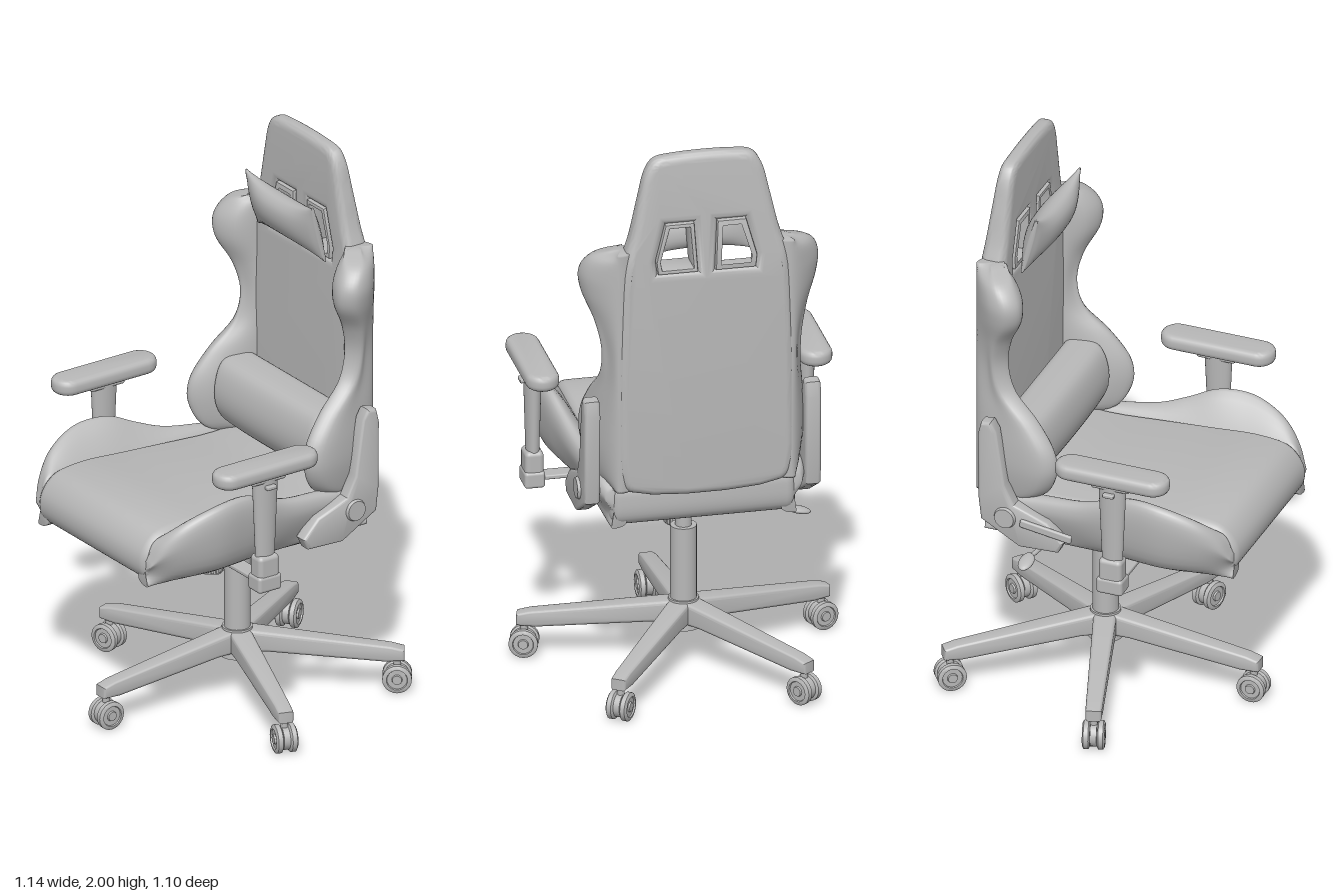
import * as THREE from 'three';
import { toCreasedNormals } from 'three/addons/utils/BufferGeometryUtils.js';
import { RoundedBoxGeometry } from 'three/addons/geometries/RoundedBoxGeometry.js';

const V = (x, y, z) => new THREE.Vector3(x, y, z);

// Smooth closed skin through rows of [x, y, z] control points
function loft(rows, around = 36, along = 40) {
  const rings = rows.map(r => new THREE.CatmullRomCurve3(r.map(p => V(...p)), true, 'centripetal').getPoints(around).slice(0, around));
  const columns = rings[0].map((_, j) => new THREE.CatmullRomCurve3(rings.map(r => r[j]), false, 'centripetal').getPoints(along));
  const pos = [], idx = [];
  for (let i = 0; i <= along; i++) for (let j = 0; j < around; j++) pos.push(...columns[j][i].toArray());
  for (let i = 0; i < along; i++) for (let j = 0; j < around; j++) {
    const a = i * around + j, b = i * around + (j + 1) % around;
    idx.push(a, b, a + around, b, b + around, a + around);
  }
  for (const i of [0, along]) {
    const c = V(0, 0, 0);
    columns.forEach(col => c.addScaledVector(col[i], 1 / around));
    const n = pos.length / 3;
    pos.push(...c.toArray());
    for (let j = 0; j < around; j++) {
      const a = i * around + j, b = i * around + (j + 1) % around;
      idx.push(...(i ? [a, b, n] : [b, a, n]));
    }
  }
  // Face outward whichever way the rows run
  const P = k => V(pos[3 * k], pos[3 * k + 1], pos[3 * k + 2]);
  let volume = 0;
  for (let t = 0; t < idx.length; t += 3) volume += P(idx[t]).dot(P(idx[t + 1]).cross(P(idx[t + 2])));
  if (volume < 0) idx.reverse();
  const g = new THREE.BufferGeometry();
  g.setAttribute('position', new THREE.Float32BufferAttribute(pos, 3));
  g.setIndex(idx);
  g.computeVertexNormals();
  return g;
}

function bevelled(shape, depth, bevel, segments = 4) {
  return new THREE.ExtrudeGeometry(shape, {
    depth: depth - 2 * bevel, bevelThickness: bevel, bevelSize: bevel, bevelOffset: -bevel, bevelSegments: segments, curveSegments: 8,
  }).translate(0, 0, bevel);
}

// Outline of [z, y] points extruded along x from x0 to x1
function sideExtrude(points, x0, x1, bevel, smooth = 0) {
  let pts = points.map(([z, y]) => new THREE.Vector2(-z, y));
  if (smooth) {
    pts = new THREE.CatmullRomCurve3(pts.map(p => V(p.x, p.y, 0)), true, 'centripetal').getPoints(smooth).slice(0, smooth).map(p => new THREE.Vector2(p.x, p.y));
  }
  return bevelled(new THREE.Shape(pts), x1 - x0, bevel).rotateY(Math.PI / 2).translate(x0, 0, 0);
}

export function createModel() {
  const chair = new THREE.Group();
  chair.name = 'chair';
  const gray = new THREE.MeshStandardMaterial({ color: 0xb8b8b8 });
  gray.name = 'gray';
  const add = (name, geo, parent = chair) => {
    const m = new THREE.Mesh(geo, gray);
    m.name = name;
    parent.add(m);
    return m;
  };
  const crease = (g, a = 0.6) => toCreasedNormals(g, a);
  const cyl = (rt, rb, y0, y1, n = 28) => new THREE.CylinderGeometry(rt, rb, y1 - y0, n).translate(0, (y0 + y1) / 2, 0);

  // Star base: hub, five legs and twin wheel casters
  const base = new THREE.Group();
  base.name = 'base';
  base.position.z = -0.05;
  chair.add(base);
  add('hub', cyl(0.052, 0.06, 0.13, 0.235), base);
  add('gasLiftSleeve', cyl(0.045, 0.045, 0.22, 0.5), base);
  add('gasLiftPiston', cyl(0.028, 0.028, 0.48, 0.6), base);
  for (let i = 0; i < 5; i++) {
    const leg = new THREE.Group();
    leg.name = 'leg' + (i + 1);
    leg.rotation.y = i * Math.PI * 2 / 5;
    base.add(leg);
    const beam = sideExtrude([[0.02, 0.23], [0.06, 0.227], [0.52, 0.167], [0.565, 0.155], [0.565, 0.115], [0.5, 0.112], [0.1, 0.15], [0.02, 0.15]], -0.04, 0.04, 0.012);
    const p = beam.attributes.position;
    for (let k = 0; k < p.count; k++) p.setX(k, p.getX(k) * (1 - 0.55 * p.getZ(k)));
    add('legBeam', crease(beam), leg);
    const caster = new THREE.Group();
    caster.name = 'caster';
    caster.position.z = 0.54;
    leg.add(caster);
    add('casterStem', cyl(0.013, 0.013, 0.05, 0.125, 12), caster);
    add('casterHood', new THREE.CylinderGeometry(0.042, 0.042, 0.022, 24).rotateZ(Math.PI / 2).translate(0, 0.052, 0), caster);
    for (const s of [-1, 1]) {
      add('wheel', crease(new THREE.LatheGeometry([[0, -0.013], [0.042, -0.013], [0.05, -0.008], [0.05, 0.008], [0.042, 0.013], [0.036, 0.013], [0.034, 0.008], [0.018, 0.008], [0.016, 0.014], [0, 0.014]].map(q => new THREE.Vector2(...q)), 24).toNonIndexed().rotateZ(-s * Math.PI / 2).translate(s * 0.025, 0.05, 0)), caster);
    }
  }

  // Tilt mechanism under the seat
  add('mechanismPlate', new RoundedBoxGeometry(0.2, 0.05, 0.3, 2, 0.008).translate(0, 0.605, -0.03));
  add('mechanismHousing', new RoundedBoxGeometry(0.12, 0.05, 0.16, 2, 0.01).translate(0, 0.585, -0.04));
  for (const z of [-0.15, 0.08]) add('mountingRail', new RoundedBoxGeometry(0.3, 0.02, 0.05, 2, 0.005).translate(0, 0.632, z));
  const knob = new THREE.Group();
  knob.name = 'tensionKnob';
  knob.position.set(0, 0.51, 0.06);
  knob.rotation.x = -0.12;
  chair.add(knob);
  add('knobBody', cyl(0.042, 0.042, -0.045, 0.05), knob);
  add('knobNeck', cyl(0.03, 0.03, 0.05, 0.1), knob);
  for (let i = 0; i < 16; i++) {
    add('knobRib', new THREE.BoxGeometry(0.01, 0.07, 0.01).translate(0, -0.003, 0.043).rotateY(i * Math.PI / 8), knob);
  }
  add('heightLever', new THREE.TubeGeometry(new THREE.CatmullRomCurve3([V(-0.05, 0.6, -0.12), V(-0.22, 0.605, -0.15), V(-0.34, 0.59, -0.18)]), 16, 0.008, 8));
  add('leverPaddle', new THREE.SphereGeometry(1, 20, 12).scale(0.045, 0.012, 0.026).rotateZ(0.25).translate(-0.365, 0.578, -0.19));

  // Seat cushion
  add('seatCushion', crease(sideExtrude([[-0.36, 0.67], [-0.372, 0.74], [-0.355, 0.8], [-0.1, 0.815], [0.2, 0.835], [0.4, 0.845], [0.5, 0.825], [0.552, 0.76], [0.55, 0.69], [0.5, 0.648], [0.2, 0.64], [-0.3, 0.64]], -0.32, 0.32, 0.035, 64), 0.8));

  // Backrest panel, with two openings, leaning forward and thinning at the head
  const half = [[0.26, 0.785], [0.295, 0.83], [0.305, 1.1], [0.3, 1.4], [0.285, 1.62], [0.255, 1.72], [0.225, 1.85], [0.2, 1.945], [0.17, 1.985], [0.1, 1.997]];
  const outline = new THREE.CatmullRomCurve3([...half.map(([x, y]) => V(x, y, 0)), ...half.map(([x, y]) => V(-x, y, 0)).reverse()], true, 'centripetal').getPoints(100).slice(0, 100);
  const backShape = new THREE.Shape(outline.map(p => new THREE.Vector2(p.x, p.y)));
  const opening = (s, grow) => {
    const g = grow;
    return [[0.045 - g, 1.6 - g], [0.155 + g, 1.6 - g], [0.16 + g, 1.63], [0.125 + g, 1.745 + g], [0.055 - g, 1.745 + g]].map(([x, y]) => new THREE.Vector2(s * x, y));
  };
  for (const s of [-1, 1]) backShape.holes.push(new THREE.Path(opening(s, 0.012)));
  const lean = g => {
    const p = g.attributes.position;
    for (let k = 0; k < p.count; k++) {
      const t = Math.max(0, (p.getY(k) - 1.6) / 0.4);
      p.setZ(k, (p.getZ(k) + 0.357) * (1 - 0.4 * t) - 0.357 + 0.022 * t);
    }
    return crease(g, 0.7);
  };
  add('backrest', lean(bevelled(backShape, 0.095, 0.03, 6).translate(0, 0, -0.405)));
  for (const s of [-1, 1]) {
    const frame = new THREE.Shape(opening(s, 0.014));
    frame.holes.push(new THREE.Path(opening(s, 0)));
    add('openingFrame', lean(bevelled(frame, 0.1, 0.004, 2).translate(0, 0, -0.409)));
  }

  // Lumbar cushion
  add('lumbarCushion', loft([[-0.285, 0.93], [-0.275, 0.98], [-0.24, 1], [0, 1.02], [0.24, 1], [0.275, 0.98], [0.285, 0.93]].map(([x, k]) =>
    [[-0.3, 0.85], [-0.31, 0.97], [-0.3, 1.08], [-0.25, 1.088], [-0.18, 1.07], [-0.148, 0.99], [-0.155, 0.91], [-0.2, 0.85]].map(([z, y]) => [x, 1.085 + (y - 1.085) * k, -0.3 + (z + 0.3) * k]))));

  // Head pillow, pinched at the waist with sharp corners
  add('headPillow', loft([[-0.195, 0.112, 0.008], [-0.17, 0.1, 0.026], [-0.1, 0.085, 0.05], [0, 0.08, 0.058], [0.1, 0.085, 0.05], [0.17, 0.1, 0.026], [0.195, 0.112, 0.008]].map(([x, h, t]) =>
    Array.from({ length: 10 }, (_, i) => {
      const a = i * Math.PI / 5, y = Math.sin(a) * h;
      return [x, 1.7 + y, -0.25 + Math.cos(a) * t + y * 0.25];
    }))));

  for (const s of [-1, 1]) {
    const side = s > 0 ? 'left' : 'right';

    // Backrest wing: [height, outer x, front z]
    const wing = [[0.79, 0.33, -0.27], [0.83, 0.36, -0.14], [0.92, 0.38, -0.09], [1, 0.38, -0.095], [1.1, 0.365, -0.16], [1.2, 0.347, -0.255], [1.3, 0.347, -0.28], [1.4, 0.368, -0.262], [1.5, 0.405, -0.215], [1.57, 0.412, -0.215], [1.63, 0.385, -0.25], [1.665, 0.31, -0.3]];
    add(side + 'BackWing', loft(wing.map(([y, x, z]) =>
      [[0.26, -0.385], [0.252, -0.32], [0.29, z * 0.75 - 0.08], [x - 0.04, z], [x, z - 0.04], [x - 0.015, z * 0.4 - 0.235], [0.305, -0.396]].map(([px, pz]) => [s * px, y, pz])), 36, 56));

    // Seat bolster: [z, outer x, top y]
    const bolster = [[0.545, 0.335, 0.74], [0.51, 0.37, 0.81], [0.44, 0.41, 0.875], [0.32, 0.437, 0.922], [0.2, 0.425, 0.925], [0.1, 0.405, 0.885], [0, 0.388, 0.85], [-0.15, 0.372, 0.83], [-0.3, 0.36, 0.815], [-0.36, 0.34, 0.79]];
    add(side + 'SeatBolster', loft(bolster.map(([z, x, y]) =>
      [[0.27, 0.66], [0.32, 0.648], [x - 0.035, 0.69], [x, y * 0.6 + 0.28], [x - 0.008, y - 0.012], [x - 0.03, y], [0.315, Math.min(y, 0.82)], [0.28, 0.74]].map(([px, py]) => [s * px, py, z])), 36, 48));

    // Recliner bracket joining seat and backrest
    const xs = (a, b) => s > 0 ? [a, b] : [-b, -a];
    add(side + 'BracketCover', crease(sideExtrude([[-0.04, 0.7], [-0.06, 0.66], [-0.2, 0.655], [-0.34, 0.735], [-0.35, 0.82], [-0.352, 1.06], [-0.34, 1.11], [-0.305, 1.115], [-0.285, 1.08], [-0.255, 0.88], [-0.22, 0.81], [-0.1, 0.765]], ...xs(0.355, 0.41), 0.012)));
    add(side + 'BracketCap', crease(new THREE.CylinderGeometry(0.035, 0.04, 0.012, 24).toNonIndexed().rotateZ(-s * Math.PI / 2).translate(s * 0.414, 0.76, -0.25)));

    // Armrest: pad, post, socket and button
    const arm = new THREE.Group();
    arm.name = side + 'Armrest';
    arm.position.set(s * 0.473, 0, 0.168);
    chair.add(arm);
    const pad = new THREE.Shape();
    pad.absarc(0, 0.148, 0.057, 0, Math.PI);
    pad.absarc(0, -0.148, 0.057, Math.PI, Math.PI * 2);
    add('pad', crease(bevelled(pad, 0.055, 0.02).rotateX(-Math.PI / 2).translate(0, 1.022, 0), 0.8), arm);
    add('padMount', new RoundedBoxGeometry(0.06, 0.03, 0.14, 3, 0.01).translate(0, 1.018, 0), arm);
    const post = new THREE.CylinderGeometry(0.05, 0.036, 0.32, 28).scale(0.62, 1, 1).translate(0, 0.87, 0);
    add('post', post, arm);
    add('socket', new RoundedBoxGeometry(0.064, 0.13, 0.084, 4, 0.016).translate(0, 0.668, 0), arm);
    add('socketFoot', new RoundedBoxGeometry(0.072, 0.06, 0.095, 4, 0.012).translate(0, 0.632, 0), arm);
    add('button', new RoundedBoxGeometry(0.02, 0.014, 0.04, 2, 0.004).translate(s * 0.036, 0.99, 0), arm);
  }

  // Flat bar carrying both armrests, and the recline handle
  add('armrestBar', new RoundedBoxGeometry(0.94, 0.016, 0.06, 2, 0.005).translate(0, 0.632, 0.168));
  add('reclineHandle', new RoundedBoxGeometry(0.016, 0.03, 0.19, 2, 0.007).rotateX(0.15).translate(-0.412, 0.74, -0.1));

  return chair;
}
